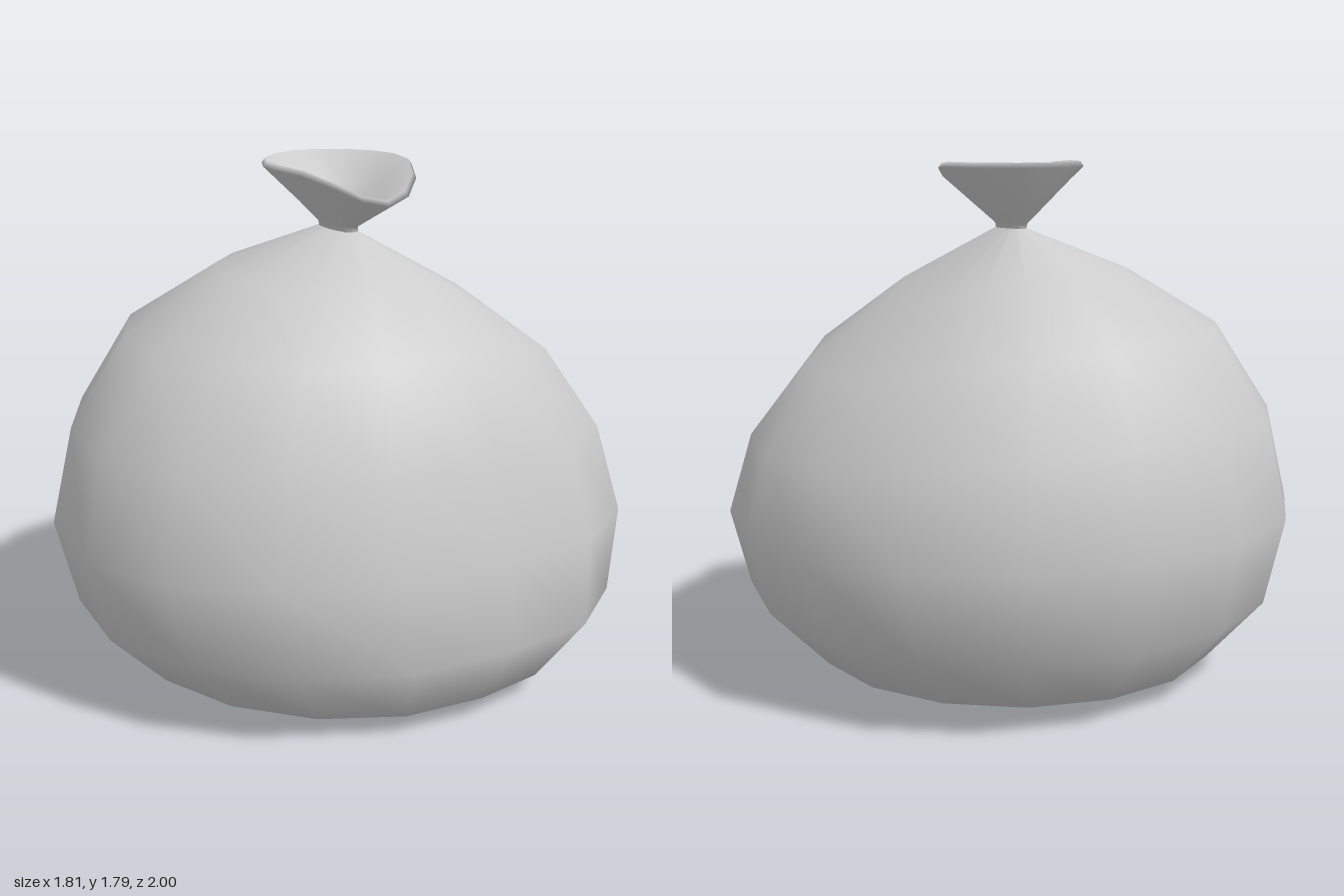
import * as THREE from 'three';

const SIDES = 16;

// Skins a stack of closed rings; point(ring, cos, sin) returns [x, y, z]
function loft(name, rings, point) {
  const pos = [], index = [];
  rings.forEach((ring, i) => {
    for (let j = 0; j < SIDES; j++) {
      const a = (j / SIDES) * Math.PI * 2;
      pos.push(...point(ring, Math.cos(a), Math.sin(a)));
      if (i === rings.length - 1) continue;
      const p = i * SIDES + j, q = i * SIDES + ((j + 1) % SIDES);
      index.push(p, p + SIDES, q + SIDES, p, q + SIDES, q);
    }
  });
  const geo = new THREE.BufferGeometry();
  geo.setAttribute('position', new THREE.Float32BufferAttribute(pos, 3));
  geo.setIndex(index);
  geo.computeVertexNormals();
  const mesh = new THREE.Mesh(geo, new THREE.MeshStandardMaterial({ color: 0xcccccc }));
  mesh.name = name;
  return mesh;
}

export function createModel() {
  const group = new THREE.Group();
  group.name = 'tiedSack';

  // Sack body: [height, -x radius, +x radius, z radius, sag of the back, lean]
  const body = [
    [0, 0.001, 0.001, 0.001, 0, 0],
    [0, 0.36, 0.43, 0.37, 0, 0.3],
    [0.075, 0.72, 0.74, 0.715, 0, 0.7],
    [0.287, 0.9, 0.855, 0.922, 0, 1],
    [0.588, 0.957, 0.83, 1, 0.03, 1],
    [0.92, 0.905, 0.75, 0.92, 0.09, 0.9],
    [1.23, 0.735, 0.61, 0.715, 0.15, 0.7],
    [1.425, 0.435, 0.38, 0.39, 0.09, 0.4],
    [1.565, 0.07, 0.12, 0.035, 0, 0],
  ];
  group.add(loft('sackBody', body, ([y, left, right, depth, sag, lean], c, s) => {
    const side = Math.max(0, c), back = Math.max(0, -s);
    // the +x side leans backwards and bulges into a ridge at the back corner
    const x = 0.05 + c * (c > 0 ? right : left) + 0.18 * lean * side * back;
    const z = s * depth - 0.09 * lean * side * (1 - 0.4 * back);
    return [x, y - sag * back * back, z];
  }));

  // Gathered neck flaring to an open mouth, then back down the inside:
  // [height, x radius, z radius, dip of the +x lip]
  const collar = [
    [1.56, 0.098, 0.036, 0],
    [1.58, 0.096, 0.042, 0],
    [1.777, 0.275, 0.25, 0.105],
    [1.795, 0.262, 0.238, 0.105],
    [1.71, 0.17, 0.145, 0.06],
    [1.63, 0.07, 0.045, 0.01],
    [1.615, 0.001, 0.001, 0],
  ];
  group.add(loft('gatheredCollar', collar, ([y, rx, rz, dip], c, s) =>
    [0.075 + rx * c, y - dip * Math.max(0, c) ** 3, rz * s]));

  return group;
}
